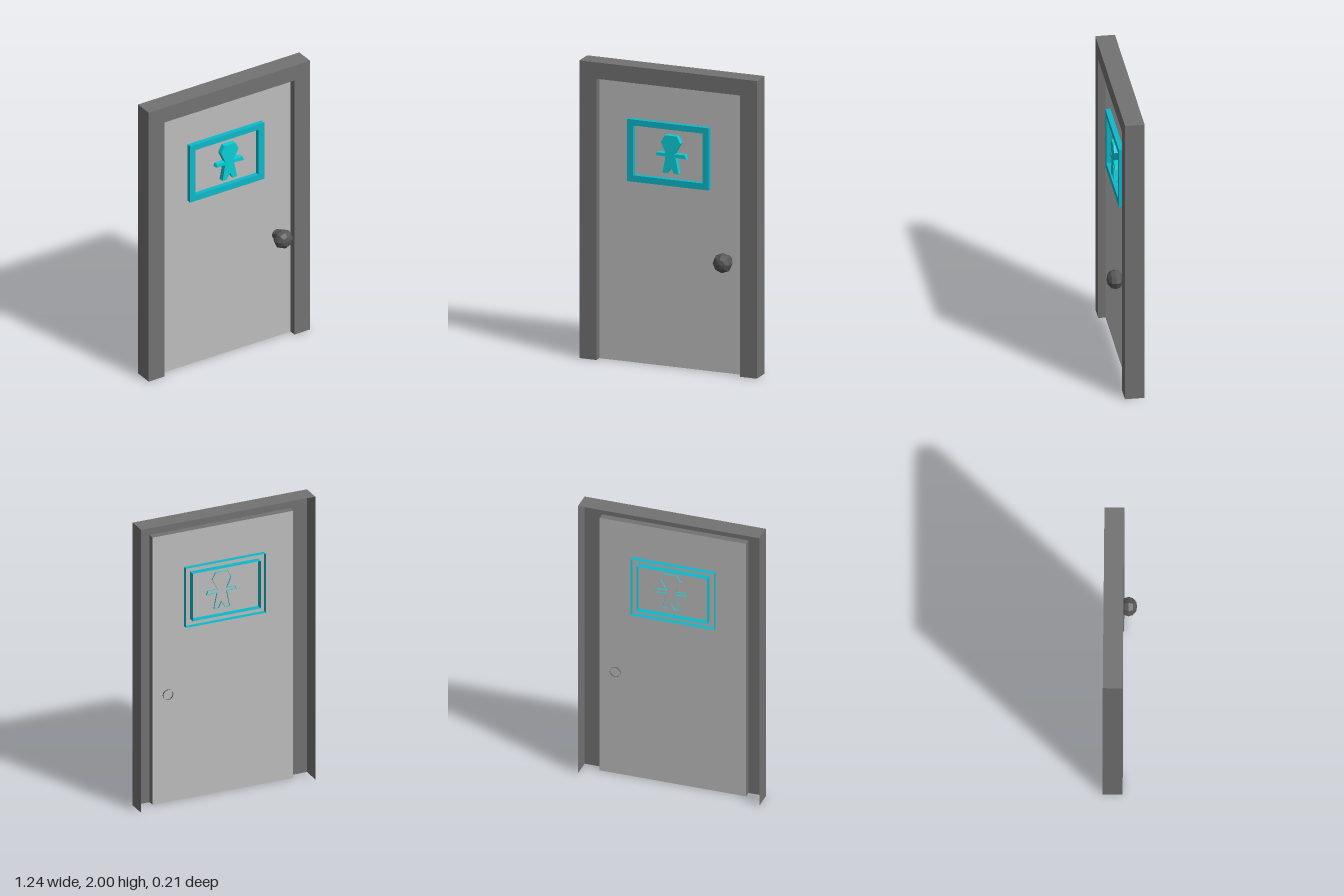
import * as THREE from 'three';

const material = (name, color, doubleSided = true) => {
  const m = new THREE.MeshStandardMaterial({ color, flatShading: true });
  m.name = name;
  if (doubleSided) m.side = THREE.DoubleSide;
  return m;
};

const toVectors = (points) => points.map(([x, y]) => new THREE.Vector2(x, y));

// Corners of a rectangle, starting and ending on the bottom edge
const rect = (x0, x1, y0, y1) => [[x0, y0], [x0, y1], [x1, y1], [x1, y0]];

// Thin wall that follows an outline from depth z0 back to z1
function wall(points, z0, z1, closed) {
  const positions = [];
  const count = closed ? points.length : points.length - 1;
  for (let i = 0; i < count; i++) {
    const [ax, ay] = points[i];
    const [bx, by] = points[(i + 1) % points.length];
    positions.push(ax, ay, z0, bx, by, z0, bx, by, z1);
    positions.push(ax, ay, z0, bx, by, z1, ax, ay, z1);
  }
  const geometry = new THREE.BufferGeometry();
  geometry.setAttribute('position', new THREE.Float32BufferAttribute(positions, 3));
  geometry.computeVertexNormals();
  return geometry;
}

// Flat front face at depth z, with an optional hole
function face(points, z, hole) {
  const shape = new THREE.Shape(toVectors(points));
  if (hole) shape.holes.push(new THREE.Path(toVectors(hole)));
  return new THREE.ShapeGeometry(shape).translate(0, 0, z);
}

export function createModel() {
  const model = new THREE.Group();
  model.name = 'door';
  const frameGrey = material('frame grey', 0x727272);
  const panelGrey = material('panel grey', 0xbebebe);
  const signTeal = material('sign teal', 0x0db9ca);
  const figureCyan = material('figure cyan', 0x0acfd8);
  const knobGrey = material('knob dark grey', 0x565656);

  const add = (parent, name, geometry, mat) => {
    const mesh = new THREE.Mesh(geometry, mat);
    mesh.name = name;
    parent.add(mesh);
    return mesh;
  };
  const group = (name) => {
    const g = new THREE.Group();
    g.name = name;
    model.add(g);
    return g;
  };

  const frontZ = 0.02, backZ = -0.108, panelZ = -0.027;

  // Door frame: hollow casing, open at the back and bottom
  const frame = group('doorFrame');
  const outer = rect(-0.62, 0.62, 0, 2);
  const inner = rect(-0.5, 0.5, 0, 1.89);
  add(frame, 'casingFront', face([...outer, ...inner.slice().reverse()], frontZ), frameGrey);
  add(frame, 'casingSides', wall(outer, frontZ, backZ, false), frameGrey);
  add(frame, 'jamb', wall(inner, frontZ, panelZ, false), frameGrey);

  // Door panel
  add(model, 'doorPanel', face(inner, panelZ), panelGrey);

  // Sign border: its walls pass through the panel
  const sign = group('signBorder');
  const signOuter = rect(-0.292, 0.277, 1.222, 1.64);
  const signInner = rect(-0.25, 0.234, 1.265, 1.6);
  const signZ = 0.006;
  add(sign, 'borderFront', face(signOuter, signZ, signInner), signTeal);
  add(sign, 'borderOuterWalls', wall(signOuter, signZ, -0.06, true), signTeal);
  add(sign, 'borderInnerWalls', wall(signInner, signZ, -0.07, true), signTeal);

  // Standing figure inside the sign
  const figure = group('figure');
  const outline = [
    [-0.03, 1.56], [0.055, 1.56], [0.08, 1.513], [0.04, 1.44], [0.11, 1.44], [0.12, 1.413],
    [0.045, 1.418], [0.067, 1.307], [0.034, 1.307], [0.013, 1.35], [-0.013, 1.307],
    [-0.045, 1.307], [-0.024, 1.418], [-0.093, 1.42], [-0.085, 1.44], [-0.024, 1.44], [-0.056, 1.513],
  ];
  add(figure, 'figureFront', face(outline, 0.008), figureCyan);
  add(figure, 'figureSides', wall(outline, 0.008, -0.037, true), figureCyan);

  // Knob on an open stem
  const knob = group('doorKnob');
  knob.position.set(0.393, 0.76, 0);
  const ball = new THREE.SphereGeometry(0.067, 8, 6).rotateX(Math.PI / 2).scale(1, 1, 0.83);
  add(knob, 'knobBall', ball.translate(0, 0, 0.05), knobGrey);
  const stem = new THREE.CylinderGeometry(0.036, 0.036, 0.075, 12, 1, true).rotateX(Math.PI / 2);
  add(knob, 'knobStem', stem.translate(0, 0, 0.0005), knobGrey);

  return model;
}
